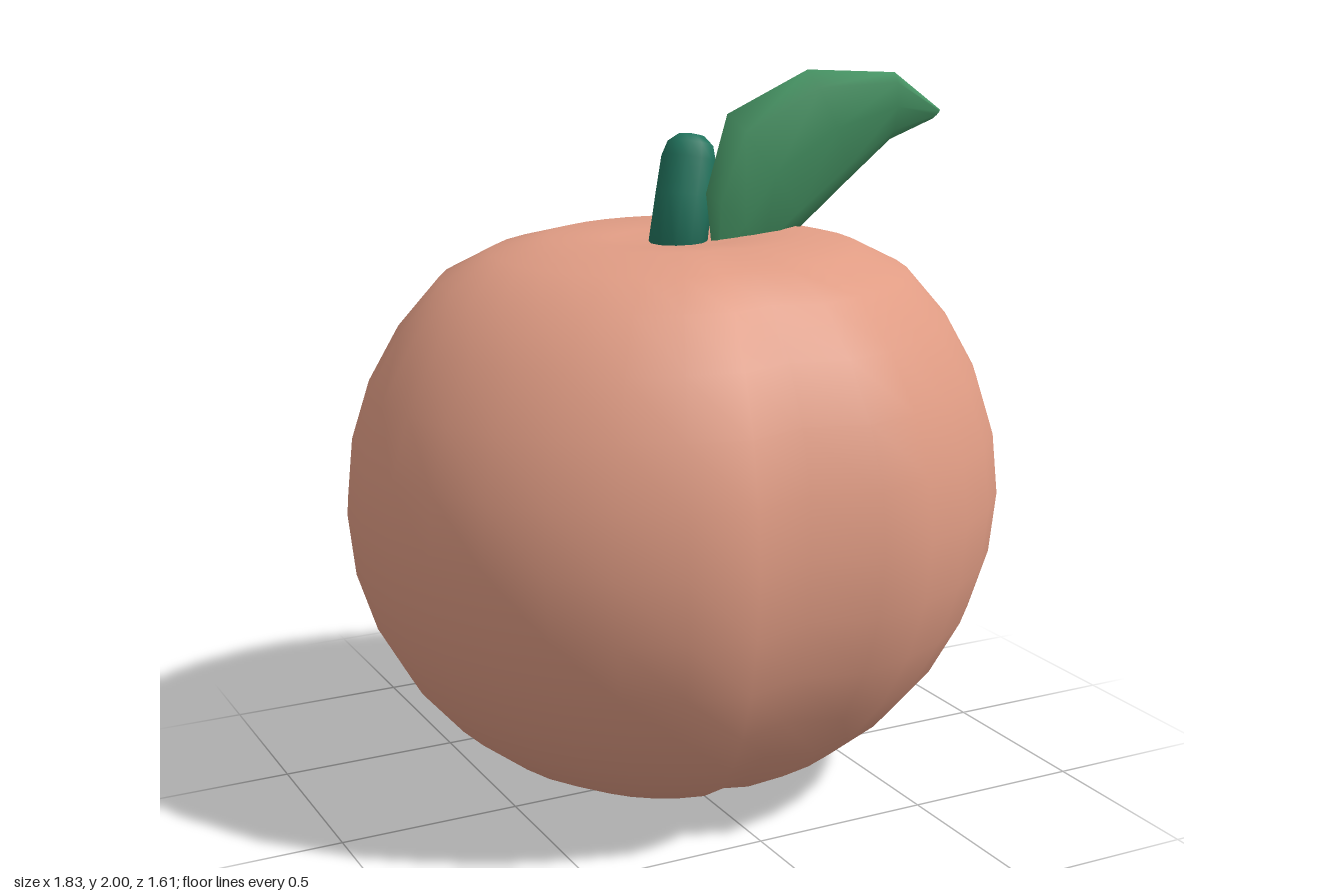
import * as THREE from 'three';
import { mergeVertices } from 'three/addons/utils/BufferGeometryUtils.js';

const material = (name, color, extra = {}) =>
  Object.assign(new THREE.MeshStandardMaterial({ color, ...extra }), { name });

// Fruit: a squashed sphere with a shallow hollow on top and a crease down the front
function fruitGeometry() {
  const columns = 32, rows = 16;
  let geometry = new THREE.SphereGeometry(1, columns, rows);
  const p = geometry.attributes.position;
  const crownHeights = [1.54, 1.56, 1.572, 1.535];
  for (let i = 0; i < p.count; i++) {
    const row = Math.floor(i / (columns + 1));
    const x = p.getX(i), z = p.getZ(i);
    const inCrease = Math.abs(x) < 1e-4 && z > 0.01;
    const y = row < crownHeights.length ? crownHeights[row] : 0.86 + 0.857 * p.getY(i);
    p.setXYZ(i, 0.915 * x, Math.max(0, y), 0.812 * z * (inCrease ? 0.91 : 1));
  }
  geometry.deleteAttribute('uv');
  geometry.deleteAttribute('normal');
  geometry = mergeVertices(geometry, 1e-5);
  geometry.computeVertexNormals();
  return geometry;
}

// Stem: a tapered rod with a rounded end, built upright
function stemGeometry(length) {
  const profile = [[0, 0], [0.08, 0], [0.077, length * 0.5], [0.074, length * 0.8],
    [0.062, length * 0.92], [0.036, length * 0.985], [0, length]];
  return new THREE.LatheGeometry(profile.map(([x, y]) => new THREE.Vector2(x, y)), 12);
}

// Leaf: oval cross-sections from base to tip
function leafGeometry() {
  // upper x, upper y, lower x, lower y, middle z, half thickness
  const sections = [
    [0.09, 1.50, 0.13, 1.47, 0.03, 0.01],
    [0.065, 1.68, 0.27, 1.50, 0.035, 0.05],
    [0.12, 1.89, 0.37, 1.57, 0.05, 0.062],
    [0.35, 2.00, 0.50, 1.69, 0.075, 0.055],
    [0.61, 1.985, 0.62, 1.80, 0.1, 0.03],
    [0.745, 1.88, 0.735, 1.85, 0.125, 0.008],
  ];
  const sides = 8, positions = [], index = [];
  sections.forEach(([ux, uy, lx, ly, z, t], i) => {
    for (let j = 0; j < sides; j++) {
      const a = (j / sides) * Math.PI * 2, c = Math.cos(a);
      positions.push((ux + lx) / 2 + c * (ux - lx) / 2, (uy + ly) / 2 + c * (uy - ly) / 2,
        z + 0.015 * c + t * Math.sin(a));
      if (i < sections.length - 1) {
        const k = i * sides + j, n = i * sides + (j + 1) % sides;
        index.push(k, n, k + sides, n, n + sides, k + sides);
      }
    }
  });
  // close both ends
  const last = (sections.length - 1) * sides;
  for (let j = 1; j < sides - 1; j++) {
    index.push(0, j + 1, j, last, last + j, last + j + 1);
  }
  const geometry = new THREE.BufferGeometry();
  geometry.setAttribute('position', new THREE.Float32BufferAttribute(positions, 3));
  geometry.setIndex(index);
  geometry.computeVertexNormals();
  return geometry;
}

export function createModel() {
  const model = new THREE.Group();
  model.name = 'fruit with leaf';
  const add = (name, geometry, mat) => {
    const mesh = new THREE.Mesh(geometry, mat);
    mesh.name = name;
    model.add(mesh);
    return mesh;
  };

  add('fruit', fruitGeometry(), material('peach skin', 0xe09c84));

  // Stem leans to the model's left and slightly back
  const base = new THREE.Vector3(0, 1.5, 0), tip = new THREE.Vector3(0.075, 1.83, -0.052);
  const lean = tip.clone().sub(base);
  const stem = add('stem', stemGeometry(lean.length()), material('dark green', 0x22745e));
  stem.position.copy(base);
  stem.quaternion.setFromUnitVectors(new THREE.Vector3(0, 1, 0), lean.normalize());

  add('leaf', leafGeometry(), material('leaf green', 0x469464));
  return model;
}
